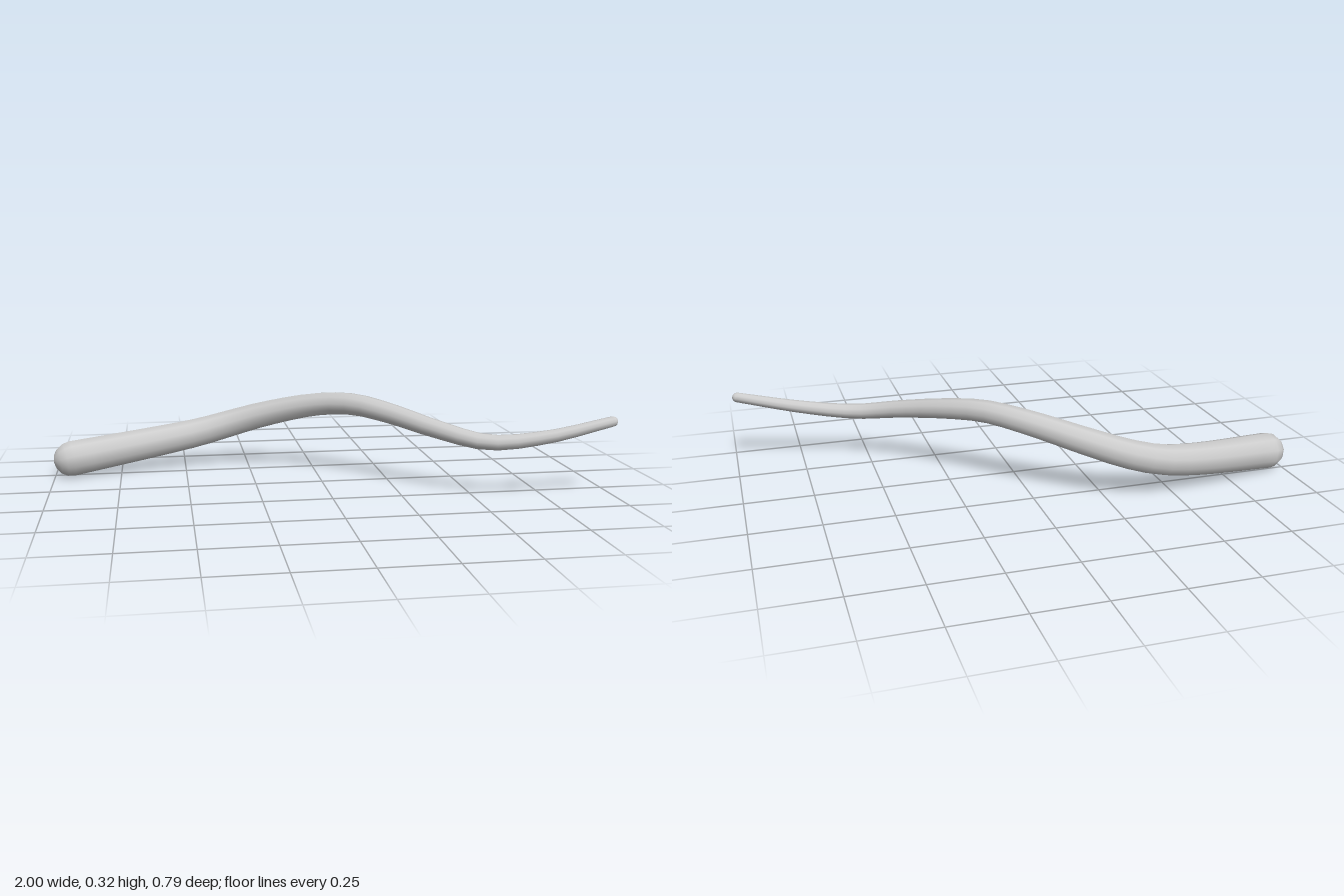
import * as THREE from 'three';

const SIDES = 10, RINGS = 32, CAP = 4;
const R0 = 0.069, R1 = 0.0185; // thick end and thin tip

// Centre line from the thick end to the tip
const path = new THREE.CatmullRomCurve3([
  [-0.935, 0.072, -0.232], [-0.6, 0.112, -0.318], [-0.45, 0.136, -0.34],
  [-0.33, 0.168, -0.333], [-0.2, 0.21, -0.291], [0, 0.267, -0.173],
  [0.13, 0.284, -0.062], [0.25, 0.266, 0.055], [0.4, 0.228, 0.203],
  [0.55, 0.2, 0.302], [0.75, 0.223, 0.35], [0.978, 0.276, 0.372],
].map((p) => new THREE.Vector3(...p)));

function taperedTube() {
  const frames = path.computeFrenetFrames(RINGS, false);
  const positions = [], index = [];

  // One ring around the centre line, pushed along the tangent for the end caps
  const addRing = (i, radius, push) => {
    const c = path.getPointAt(i / RINGS).addScaledVector(frames.tangents[i], push);
    for (let j = 0; j < SIDES; j++) {
      const a = (j / SIDES) * Math.PI * 2;
      const p = c.clone()
        .addScaledVector(frames.normals[i], Math.cos(a) * radius)
        .addScaledVector(frames.binormals[i], Math.sin(a) * radius);
      positions.push(p.x, p.y, p.z);
    }
  };

  // Rounded thick end, tapering body, rounded tip
  for (let k = 0; k < CAP; k++) {
    const a = (k / CAP) * Math.PI / 2;
    addRing(0, R0 * Math.sin(a), -R0 * Math.cos(a));
  }
  for (let i = 0; i <= RINGS; i++) addRing(i, THREE.MathUtils.lerp(R0, R1, i / RINGS), 0);
  for (let k = 1; k <= CAP; k++) {
    const a = (k / CAP) * Math.PI / 2;
    addRing(RINGS, R1 * Math.cos(a), R1 * Math.sin(a));
  }

  // Join neighbouring rings
  const count = positions.length / 3 / SIDES;
  for (let i = 0; i < count - 1; i++) {
    for (let j = 0; j < SIDES; j++) {
      const n = (j + 1) % SIDES;
      const a = i * SIDES + j, b = i * SIDES + n;
      index.push(a, b, b + SIDES, a, b + SIDES, a + SIDES);
    }
  }

  const geometry = new THREE.BufferGeometry();
  geometry.setAttribute('position', new THREE.Float32BufferAttribute(positions, 3));
  geometry.setIndex(index);
  geometry.computeVertexNormals();
  return geometry;
}

export function createModel() {
  const group = new THREE.Group();
  group.name = 'curvedTendril';
  const mesh = new THREE.Mesh(taperedTube(), new THREE.MeshStandardMaterial({ color: 0xcccccc }));
  mesh.name = 'tendril';
  group.add(mesh);
  return group;
}
